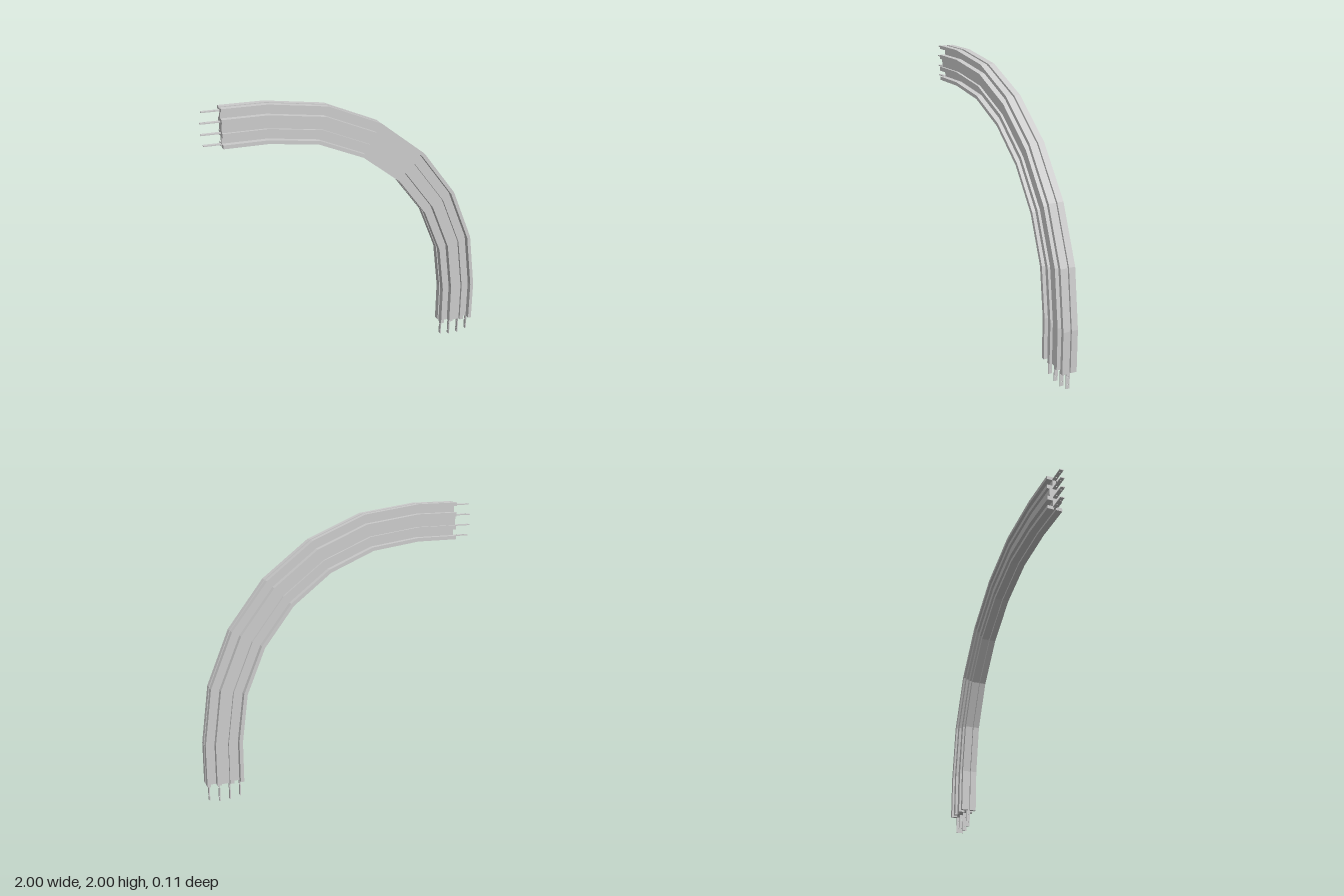
import * as THREE from 'three';

const CX = -0.57, CY = 0.43, R = 1.44; // bend centre and centreline radius
const START_X = -0.87, END_Y = 0.135;  // ends of the straight runs
const material = new THREE.MeshStandardMaterial({ color: 0xcccccc, flatShading: true });

// Rail cross-section as [radial offset, z], mirrored from one quarter
function railProfile() {
  const q = [
    [0.115, 0.008], [0.13, 0.008], [0.13, 0.053], [0.105, 0.053], [0.105, 0.012],
    [0.06, 0.012], [0.06, 0.053], [0.03, 0.053], [0.03, 0.035],
  ];
  const half = [...q, ...q.slice().reverse().map(([o, z]) => [-o, z])];
  return [...half, ...half.map(([o, z]) => [-o, -z])];
}

// Sweep the profile along a straight, a six-facet quarter bend and a straight
function railGeometry() {
  const profile = railProfile();
  const stations = [{ a: 0, dx: START_X - CX, dy: 0 }];
  for (let i = 0; i <= 6; i++) stations.push({ a: (i * Math.PI) / 12, dx: 0, dy: 0 });
  stations.push({ a: Math.PI / 2, dx: 0, dy: END_Y - CY });

  const rings = stations.map(({ a, dx, dy }) => profile.map(([o, z]) => [
    CX + dx + (R + o) * Math.sin(a), CY + dy + (R + o) * Math.cos(a), z,
  ]));
  const pos = [];
  const tri = (a, b, c) => pos.push(...a, ...b, ...c);
  const n = profile.length;
  for (let s = 0; s < rings.length - 1; s++) {
    for (let i = 0; i < n; i++) {
      const j = (i + 1) % n;
      tri(rings[s][i], rings[s][j], rings[s + 1][j]);
      tri(rings[s][i], rings[s + 1][j], rings[s + 1][i]);
    }
  }
  // End caps
  const first = rings[0], last = rings[rings.length - 1];
  const outline = profile.map(([o, z]) => new THREE.Vector2(o, z));
  for (const [a, b, c] of THREE.ShapeUtils.triangulateShape(outline, [])) {
    tri(first[a], first[c], first[b]);
    tri(last[a], last[b], last[c]);
  }
  const g = new THREE.BufferGeometry();
  g.setAttribute('position', new THREE.Float32BufferAttribute(pos, 3));
  g.computeVertexNormals();
  return g;
}

// Flat contact blade reaching along -x, with two small holes
function bladeGeometry(length) {
  const w = 0.0135, inset = 0.05, t = 0.007;
  const shape = new THREE.Shape();
  shape.moveTo(-length, -w);
  shape.lineTo(inset, -w);
  shape.lineTo(inset, w);
  shape.lineTo(-length, w);
  shape.closePath();
  for (const x of [-0.035, -length + 0.03]) {
    const hole = new THREE.Path();
    hole.absarc(x, 0, 0.005, 0, Math.PI * 2, true);
    shape.holes.push(hole);
  }
  const g = new THREE.ExtrudeGeometry(shape, { depth: t, bevelEnabled: false, curveSegments: 4 });
  g.translate(0, 0, -t / 2);
  g.rotateX(Math.PI / 2);
  return g;
}

export function createModel() {
  const model = new THREE.Group();
  model.name = 'curvedConductorRail';

  const rail = new THREE.Mesh(railGeometry(), material);
  rail.name = 'curvedRail';
  model.add(rail);

  // Four contact blades at each end, the inner pair slightly longer
  for (const o of [-0.11, -0.037, 0.037, 0.11]) {
    const g = bladeGeometry(Math.abs(o) > 0.1 ? 0.118 : 0.13);
    const top = new THREE.Mesh(g, material);
    top.name = 'upperContactBlade';
    top.position.set(START_X, CY + R + o, 0);
    const bottom = new THREE.Mesh(g, material);
    bottom.name = 'lowerContactBlade';
    bottom.rotation.z = Math.PI / 2;
    bottom.position.set(CX + R + o, END_Y, 0);
    if (Math.abs(o) < 0.1) bottom.scale.x = END_Y / 0.13;
    model.add(top, bottom);
  }
  return model;
}
